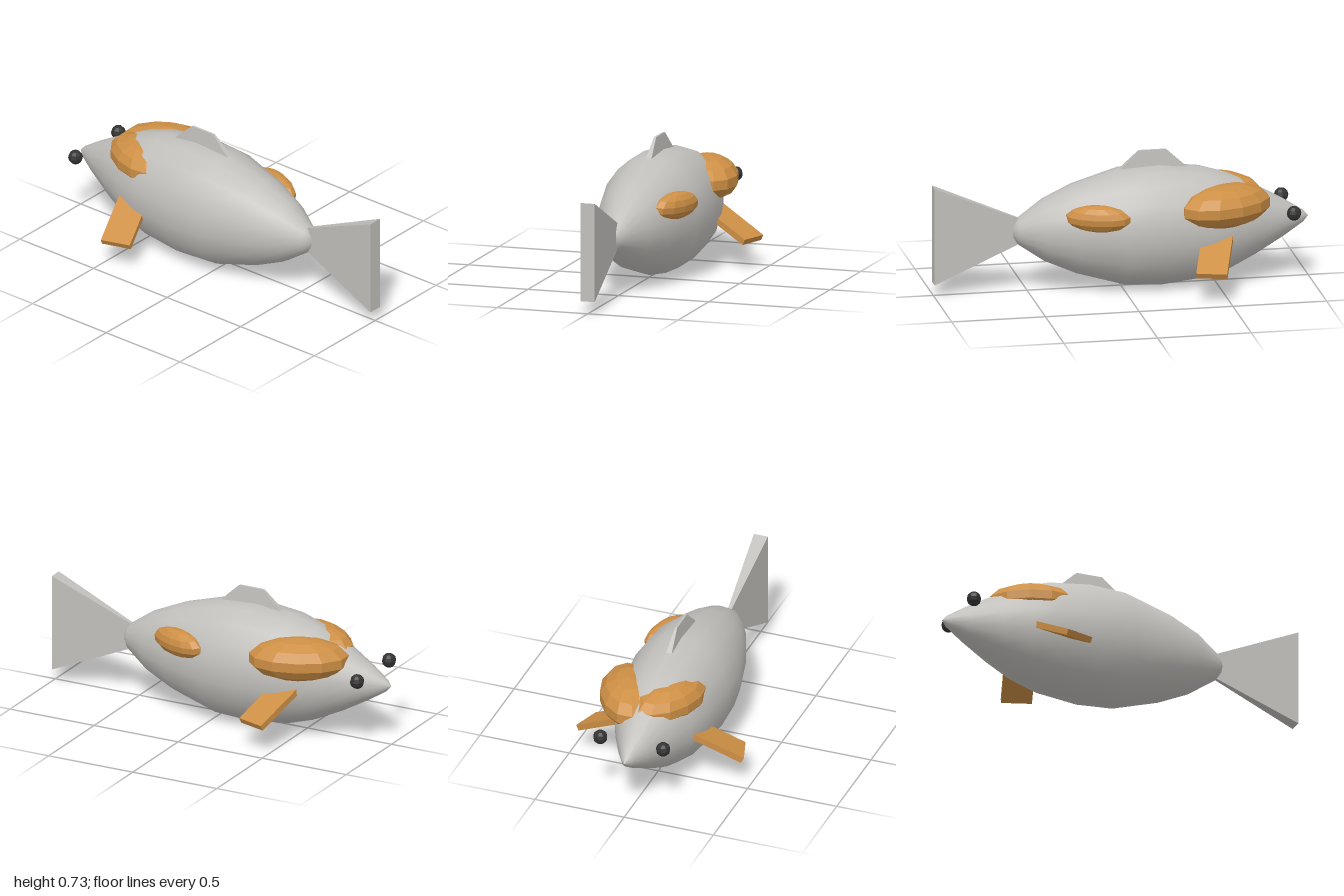
import * as THREE from 'three';

export function createModel() {
  const model = new THREE.Group();
  const grey = new THREE.MeshStandardMaterial({ color: 0xc2c0bc });
  const greyFlat = grey.clone();
  const orange = new THREE.MeshStandardMaterial({ color: 0xcd8f45, flatShading: true });
  const dark = new THREE.MeshStandardMaterial({ color: 0x333333, flatShading: true });
  greyFlat.flatShading = true;
  grey.name = 'scale grey';
  greyFlat.name = 'fin grey';
  orange.name = 'orange';
  dark.name = 'eye black';

  const add = (name, geometry, material) => {
    const mesh = new THREE.Mesh(geometry, material);
    mesh.name = name;
    model.add(mesh);
    return mesh;
  };

  // Body: a spindle along z, nose at -z, slightly taller than wide
  const profile = [
    [0, -1], [0.1, -0.97], [0.3, -0.87], [0.58, -0.71], [0.79, -0.57], [0.92, -0.43], [1, -0.2],
    [0.965, 0], [0.74, 0.25], [0.52, 0.41], [0.22, 0.55], [0.1, 0.575], [0, 0.58],
  ].map(([r, z]) => new THREE.Vector2(r, z));
  const bodyGeo = new THREE.LatheGeometry(profile, 18);
  bodyGeo.rotateX(Math.PI / 2);
  bodyGeo.scale(0.28, 0.325, 1);
  add('body', bodyGeo, grey).position.y = 0.33;

  // Tail: a thin pyramid widening to the rear
  const tailGeo = new THREE.CylinderGeometry(0, Math.SQRT1_2, 1, 4, 1).toNonIndexed();
  tailGeo.rotateY(Math.PI / 4);
  tailGeo.rotateX(-Math.PI / 2);
  tailGeo.scale(0.078, 0.525, 0.62);
  add('tail', tailGeo, greyFlat).position.set(0, 0.3325, 0.69);

  // Dorsal fin: a box tapered towards the top
  const dorsalGeo = new THREE.BoxGeometry(1, 0.135, 1);
  const p = dorsalGeo.attributes.position;
  for (let i = 0; i < p.count; i++) {
    const top = p.getY(i) > 0;
    p.setX(i, p.getX(i) * (top ? 0.012 : 0.038));
    p.setZ(i, p.getZ(i) * (top ? 0.145 : 0.435));
  }
  dorsalGeo.computeVertexNormals();
  add('dorsalFin', dorsalGeo, greyFlat).position.set(0, 0.6675, -0.168);

  // Side fins and eyes, mirrored
  for (const s of [1, -1]) {
    const side = s > 0 ? 'left' : 'right';
    const along = new THREE.Vector3(0.83 * s, -0.46, 0.27).normalize();
    const width = new THREE.Vector3(0.3, 0, -0.95 * s).normalize();
    const up = new THREE.Vector3().crossVectors(along, width).normalize();
    const fin = add(side + 'SideFin', new THREE.BoxGeometry(0.36, 0.033, 0.163), orange);
    fin.quaternion.setFromRotationMatrix(
      new THREE.Matrix4().makeBasis(along, up, width.clone().negate()));
    fin.position.set(0.445 * s, 0.17, -0.397)
      .addScaledVector(along, -0.18).addScaledVector(up, -0.0165);

    add(side + 'Eye', new THREE.SphereGeometry(0.039, 8, 6), dark)
      .position.set(0.176 * s, 0.397, -0.89);
  }

  // Raised orange patches: position, half sizes, yaw, roll
  const patches = [
    ['leftHeadPatch', [0.15, 0.452, -0.53], [0.16, 0.115, 0.27], 0.42, 0],
    ['rightHeadPatch', [-0.075, 0.472, -0.53], [0.14, 0.105, 0.24], -0.42, 0],
    ['rearPatch', [0.2, 0.432, 0.16], [0.068, 0.074, 0.175], -0.34, -0.15],
  ];
  for (const [name, pos, size, yaw, roll] of patches) {
    const patch = add(name, new THREE.SphereGeometry(1, 12, 7), orange);
    patch.position.set(...pos);
    patch.scale.set(...size);
    patch.rotation.set(0, yaw, roll);
  }

  return model;
}
